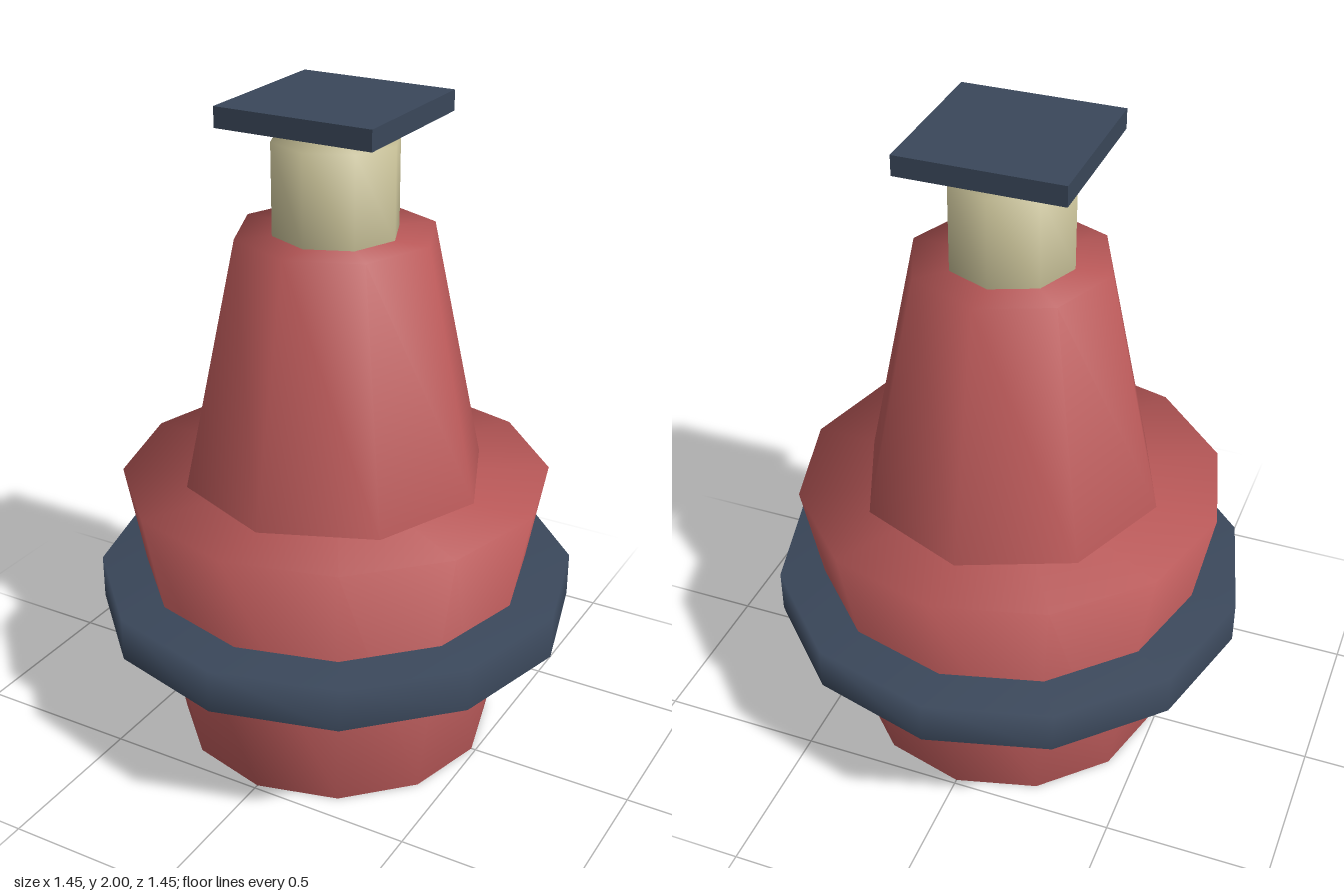
import * as THREE from 'three';

const RED = 0xbc5a5a, NAVY = 0x3a475a, CREAM = 0xc2bb93;

function addPart(group, name, geometry, color) {
  const material = new THREE.MeshStandardMaterial({ color, side: THREE.DoubleSide });
  const mesh = new THREE.Mesh(geometry, material);
  mesh.name = name;
  group.add(mesh);
  return mesh;
}

// Few-sided shell, open below and closed on top, with normals smoothed over the rim
function shell(bottomRadius, topRadius, bottom, top, sides) {
  const profile = [[bottomRadius, bottom], [topRadius, top], [0, top]];
  return new THREE.LatheGeometry(profile.map(([r, y]) => new THREE.Vector2(r, y)), sides);
}

export function createModel() {
  const model = new THREE.Group();
  model.name = 'tieredBuoy';

  // Stacked tiers
  addPart(model, 'hull', shell(0.486, 0.646, 0, 0.863, 12), RED);
  addPart(model, 'fender', shell(0.727, 0.727, 0.42, 0.555, 12), NAVY);
  addPart(model, 'tower', shell(0.46, 0.297, 0.863, 1.62, 8), RED);
  addPart(model, 'lantern', shell(0.188, 0.188, 1.62, 1.89, 8), CREAM);

  // Square plate hovering above the lantern
  const plate = addPart(model, 'roofPlate', new THREE.BoxGeometry(0.486, 0.06, 0.486), NAVY);
  plate.position.y = 1.97;

  return model;
}
